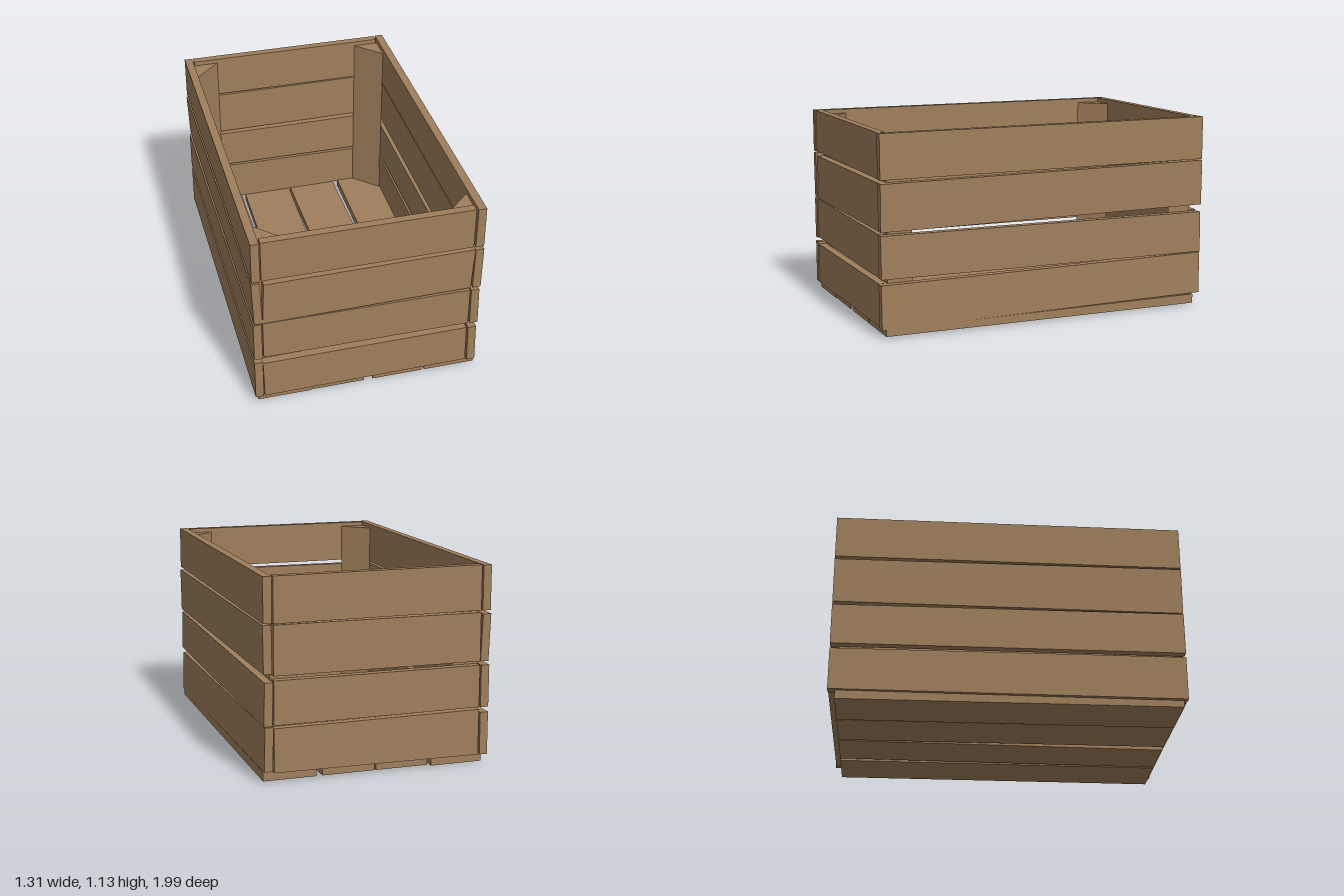
import * as THREE from 'three';

const wood = new THREE.MeshStandardMaterial({ color: 0x9f7f5c });
wood.name = 'wood';

// Board along z. Each end is [x0, x1, y0, y1]; lean shifts the top edge in x, skew shifts the top edge in z
function board(name, zBack, zFront, back, front, lean = 0, skew = 0) {
  const geo = new THREE.BoxGeometry(1, 1, 1).toNonIndexed();
  const p = geo.attributes.position;
  for (let i = 0; i < p.count; i++) {
    const u = p.getX(i) + 0.5, v = p.getY(i) + 0.5, w = p.getZ(i);
    const e = w > 0 ? front : back;
    p.setXYZ(i,
      e[0] + (e[1] - e[0]) * u + lean * v,
      e[2] + (e[3] - e[2]) * v,
      (w > 0 ? zFront : zBack) + skew * v);
  }
  geo.computeVertexNormals();
  const mesh = new THREE.Mesh(geo, wood);
  mesh.name = name;
  return mesh;
}

// Triangular prism filling an inside corner
function cornerPost(sx, sz) {
  const pts = [[0.6, 0.8], [0.6, 0.945], [0.45, 0.945]];
  const shape = new THREE.Shape(pts.map(([x, z]) => new THREE.Vector2(x * sx, -z * sz)));
  const geo = new THREE.ExtrudeGeometry(shape, { depth: 1.05, bevelEnabled: false });
  geo.rotateX(-Math.PI / 2);
  geo.translate(0, 0.05, 0);
  const mesh = new THREE.Mesh(geo, wood);
  mesh.name = 'cornerPost';
  return mesh;
}

export function createModel() {
  const crate = new THREE.Group();
  crate.name = 'crate';

  // Long side planks: [bottom, top] at the back end and front end, then lean
  const rightRows = [
    [0.07, 0.315, 0.05, 0.297, -0.006],
    [0.32, 0.56, 0.33, 0.57, -0.005],
    [0.605, 0.87, 0.59, 0.853, 0.003],
    [0.877, 1.127, 0.873, 1.125, 0],
  ];
  const leftRows = [
    [0.05, 0.295, 0.05, 0.304, 0],
    [0.325, 0.565, 0.33, 0.575, 0],
    [0.587, 0.853, 0.583, 0.862, -0.01],
    [0.873, 1.125, 0.873, 1.125, 0],
  ];
  rightRows.forEach(([b0, b1, f0, f1, lean]) =>
    crate.add(board('sidePlank', -0.995, 0.995, [0.602, 0.649, b0, b1], [0.602, 0.649, f0, f1], lean)));
  leftRows.forEach(([b0, b1, f0, f1, lean]) => {
    const x = lean ? 0.006 : 0;
    crate.add(board('sidePlank', -0.995, 0.995,
      [-0.649 + x, -0.602 + x, b0, b1], [-0.649 + x, -0.602 + x, f0, f1], lean));
  });

  // End planks: built along z, turned so the front end lands on +x. Heights at -x then +x, then skew
  const frontRows = [
    [0.047, 0.29, 0.055, 0.296, -0.005],
    [0.335, 0.577, 0.33, 0.571, 0],
    [0.58, 0.845, 0.588, 0.853, 0.012],
    [0.873, 1.125, 0.873, 1.125, 0],
  ];
  const backRows = [
    [0.05, 0.312, 0.06, 0.306, 0],
    [0.325, 0.565, 0.322, 0.567, 0],
    [0.587, 0.862, 0.592, 0.867, 0],
    [0.873, 1.127, 0.873, 1.127, 0],
  ];
  for (const [rows, z] of [[frontRows, 0.968], [backRows, -0.968]]) {
    for (const [a0, a1, b0, b1, skew] of rows) {
      const plank = board('endPlank', -0.595, 0.592,
        [-0.023, 0.023, a0, a1], [-0.023, 0.023, b0, b1], 0, skew);
      plank.rotation.y = Math.PI / 2;
      plank.position.z = z;
      crate.add(plank);
    }
  }

  // Floor boards: ends as [x0, x1, y0, y1], slightly crooked
  const floor = [
    [[-0.63, -0.327, 0, 0.05], [-0.63, -0.322, 0.008, 0.047]],
    [[-0.303, 0, 0.008, 0.055], [-0.314, -0.01, 0.012, 0.05]],
    [[0.01, 0.31, 0.008, 0.055], [0.042, 0.337, 0.012, 0.052]],
    [[0.344, 0.645, 0.008, 0.062], [0.35, 0.648, 0.012, 0.052]],
  ];
  for (const [back, front] of floor) crate.add(board('floorBoard', -0.955, 0.972, back, front));

  for (const sx of [-1, 1]) for (const sz of [-1, 1]) crate.add(cornerPost(sx, sz));
  return crate;
}
